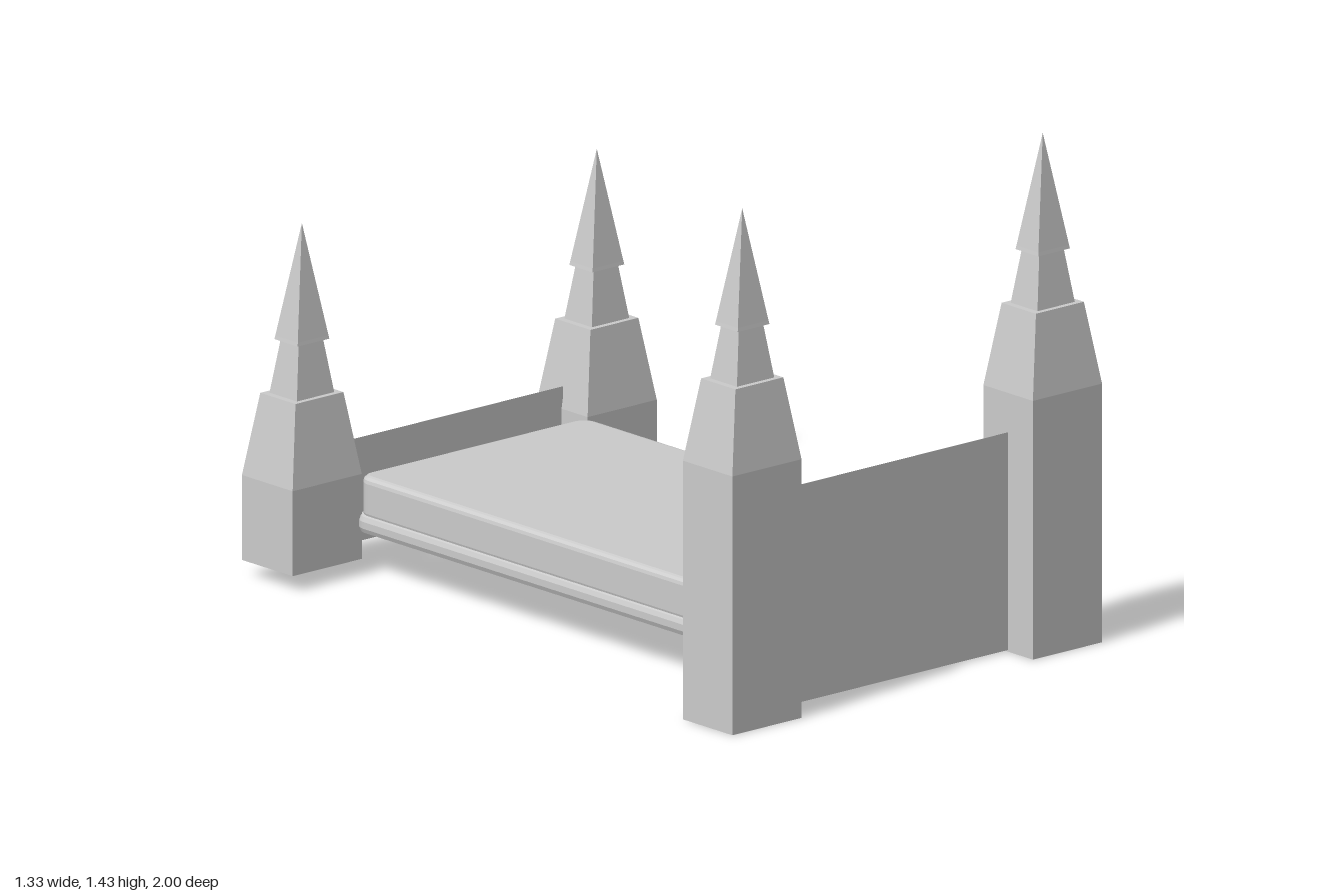
import * as THREE from 'three';
import { RoundedBoxGeometry } from 'three/addons/geometries/RoundedBoxGeometry.js';

export function createModel() {
  const model = new THREE.Group();
  model.name = 'bed';
  const flat = new THREE.MeshStandardMaterial({ color: 0xcccccc, flatShading: true });
  const smooth = new THREE.MeshStandardMaterial({ color: 0xcccccc });
  const thin = new THREE.MeshStandardMaterial({ color: 0xcccccc, side: THREE.DoubleSide });

  function add(name, geometry, material, x, y, z) {
    const mesh = new THREE.Mesh(geometry, material);
    mesh.name = name;
    mesh.position.set(x, y, z);
    model.add(mesh);
    return mesh;
  }

  // Four-sided spired post; shoulder is the height where the taper starts
  function postGeometry(base, shoulder, depthScale) {
    const profile = [
      [0, base], [0.124, base], [0.124, shoulder], [0.086, shoulder + 0.23],
      [0.067, shoulder + 0.23], [0.043, shoulder + 0.385],
      [0.057, shoulder + 0.38], [0.055, shoulder + 0.39], [0, shoulder + 0.705],
    ].map(([r, y]) => new THREE.Vector2(r * Math.SQRT2, y));
    return new THREE.LatheGeometry(profile, 4, Math.PI / 4).scale(1, 1, depthScale);
  }

  // Rounded slab lying flat, with bevelled rims, from y0 to y1
  function slab(halfX, halfZ, y0, y1, corner, bevel, segments) {
    const a = halfX - bevel, b = halfZ - bevel, r = corner;
    const s = new THREE.Shape();
    s.absarc(a - r, b - r, r, 0, Math.PI / 2);
    s.absarc(-a + r, b - r, r, Math.PI / 2, Math.PI);
    s.absarc(-a + r, -b + r, r, Math.PI, Math.PI * 1.5);
    s.absarc(a - r, -b + r, r, Math.PI * 1.5, Math.PI * 2);
    const g = new THREE.ExtrudeGeometry(s, {
      depth: y1 - y0 - 2 * bevel, bevelThickness: bevel, bevelSize: bevel,
      bevelSegments: segments, curveSegments: 5,
    });
    return g.rotateX(-Math.PI / 2).translate(0, y0 + bevel, 0);
  }

  // Posts: tall pair at the head (+z), short pair at the foot
  const headPost = postGeometry(0.005, 0.73, 0.81);
  const footPost = postGeometry(0.05, 0.288, 0.83);
  for (const [side, s] of [['left', 1], ['right', -1]]) {
    add(side + 'HeadPost', headPost, flat, s * 0.539, 0, 0.9);
    add(side + 'FootPost', footPost, flat, s * 0.529, 0, -0.897);
  }

  // Thin end panels
  add('headboard', new THREE.PlaneGeometry(0.84, 0.61), thin, 0, 0.315, 0.9);
  add('footboard', new THREE.PlaneGeometry(0.82, 0.29), thin, 0, 0.205, -0.9);

  // Bed base and mattress
  add('bedBase', slab(0.422, 0.825, 0.125, 0.18, 0.035, 0.018, 2), flat, 0, 0, 0.005);
  add('mattress', slab(0.412, 0.815, 0.165, 0.285, 0.03, 0.018, 3), flat, 0, 0, 0.005);

  // Pillows leaning back on the headboard
  const pillow = new RoundedBoxGeometry(0.375, 0.2, 0.062, 5, 0.028);
  for (const [side, s] of [['left', 1], ['right', -1]]) {
    add(side + 'Pillow', pillow, smooth, s * 0.198, 0.38, 0.818).rotation.x = 0.3;
  }
  return model;
}
